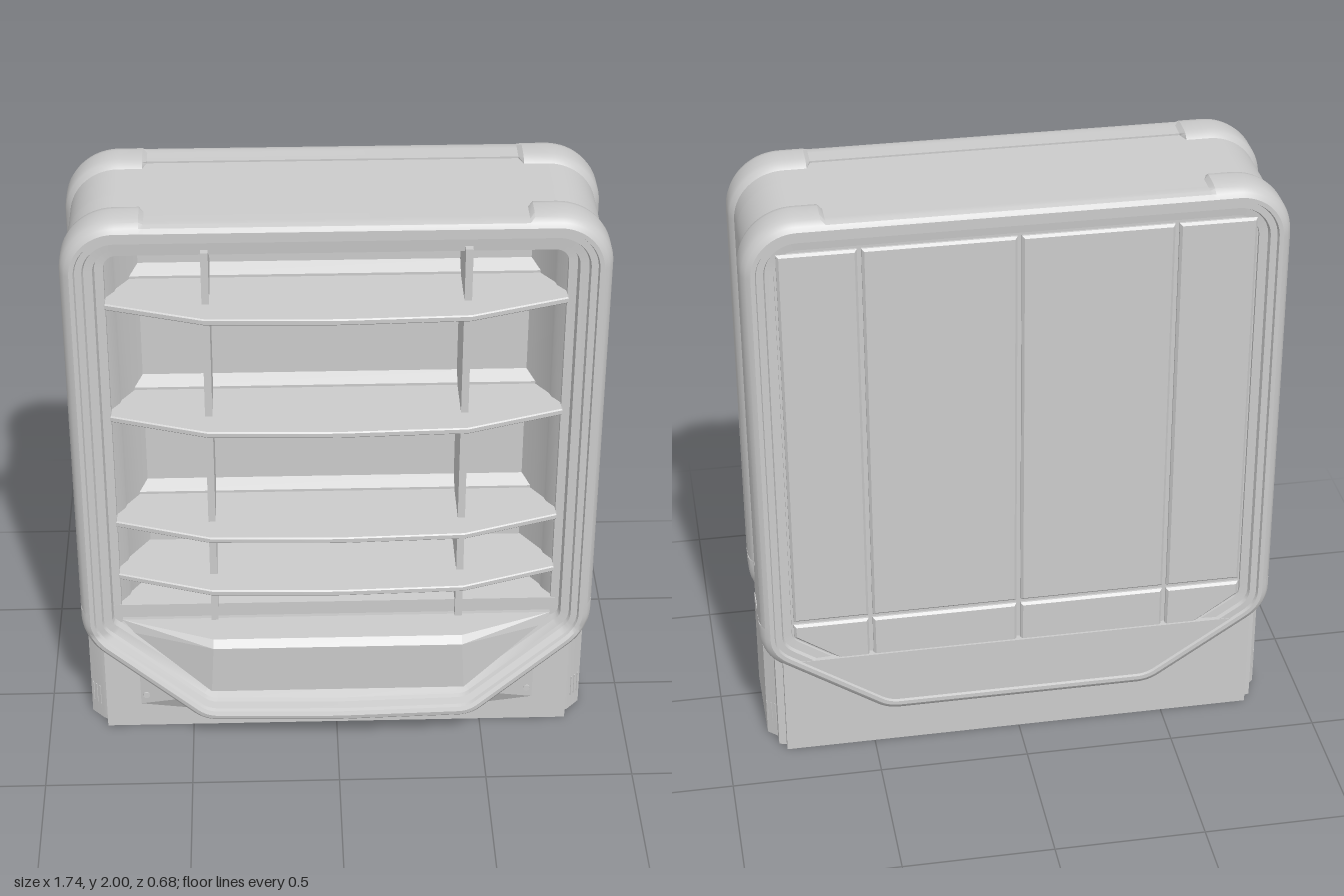
import * as THREE from 'three';
import { toCreasedNormals } from 'three/addons/utils/BufferGeometryUtils.js';
import { ConvexGeometry } from 'three/addons/geometries/ConvexGeometry.js';

const material = new THREE.MeshStandardMaterial({ color: 0xcccccc, side: THREE.DoubleSide });
const V = (x, y) => new THREE.Vector2(x, y);

// Outer outline: rounded top corners, cut lower corners, counter-clockwise
function outline() {
  const half = new THREE.Shape();
  half.moveTo(0, 0.115);
  half.lineTo(0.41, 0.115);
  half.quadraticCurveTo(0.46, 0.115, 0.5, 0.143);
  half.lineTo(0.8, 0.343);
  half.quadraticCurveTo(0.87, 0.39, 0.87, 0.47);
  for (const y of [0.505, 0.51, 0.515, 1.82]) half.lineTo(0.87, y);
  half.absarc(0.69, 1.82, 0.18, 0, Math.PI / 2, false);
  half.lineTo(0.615, 2);
  half.lineTo(0.6, 2);
  const right = half.getPoints(10).filter((p, i, a) => !i || p.distanceTo(a[i - 1]) > 1e-4);
  return [...right, ...right.slice(1).reverse().map(p => V(-p.x, p.y))];
}

// Inward mitre direction at each outline point
function mitres(pts) {
  const n = pts.length;
  return pts.map((p, i) => {
    const a = p.clone().sub(pts[(i + n - 1) % n]).normalize();
    const b = pts[(i + 1) % n].clone().sub(p).normalize();
    const m = V(-a.y - b.y, a.x + b.x).normalize();
    return m.divideScalar(Math.max(0.4, m.dot(V(-a.y, a.x))));
  });
}

const path = outline(), inward = mitres(path);
const inset = d => path.map((p, i) => p.clone().addScaledVector(inward[i], d));

// Frame cross-section: inset from the outline, depth
const section = [[0.03, 0.055], [0.018, 0.066], [0.004, 0.085], [0, 0.105], [0, 0.165], [0.005, 0.187],
  [0.017, 0.205], [0.032, 0.214], [0.046, 0.214], [0.05, 0.203], [0.072, 0.203], [0.077, 0.19],
  [0.105, 0.187], [0.11, 0.16], [0.138, 0.157], [0.142, 0]];

function frame(front) {
  const pos = [], idx = [], n = path.length, m = section.length;
  path.forEach((p, i) => {
    const topBar = p.y > 1.99 && Math.abs(p.x) < 0.61, seam = p.y === 0.51;
    for (const [d0, z0] of section) {
      const d = topBar ? Math.max(d0, 0.012) : seam ? Math.max(d0, 0.007) : d0;
      let z = topBar && d0 < 0.1 ? Math.max(z0, 0.105) : z0;
      const x = p.x + inward[i].x * d, y = p.y + inward[i].y * d;
      // the lower front edge leans outward
      if (front) z += Math.max(0, 0.41 - y) * 0.42 + (y < 0.3 ? Math.max(0, 0.012 * (1 - Math.abs(x) / 0.4)) : 0);
      pos.push(x, y, front ? z : -0.13 - z);
    }
  });
  for (let i = 0; i < n; i++) for (let j = 0; j < m - 1; j++) {
    const a = i * m + j, b = ((i + 1) % n) * m + j;
    idx.push(...(front ? [a, b, b + 1, a, b + 1, a + 1] : [a, b + 1, b, a, a + 1, b + 1]));
  }
  const g = new THREE.BufferGeometry();
  g.setAttribute('position', new THREE.Float32BufferAttribute(pos, 3));
  g.setIndex(idx);
  return toCreasedNormals(g, 0.5);
}

function extrude(shape, z0, z1, bevel = 0) {
  const g = new THREE.ExtrudeGeometry(shape, { depth: z1 - z0 - bevel * 2, bevelEnabled: bevel > 0,
    bevelSize: bevel, bevelThickness: bevel, bevelOffset: -bevel, bevelSegments: 1 });
  return toCreasedNormals(g.translate(0, 0, z0 + bevel), 0.5);
}

// Horizontal slab from a plan of [x, z] points
function slab(plan, y0, y1, bevel = 0) {
  const s = new THREE.Shape(plan.map(([x, z]) => V(x, -z)));
  return extrude(s, y0, y1, bevel).rotateX(-Math.PI / 2);
}
const mirrored = half => [...half, ...half.slice().reverse().map(([x, z]) => [-x, z])];
const hull = half => new ConvexGeometry(half.flatMap(([x, y, z]) =>
  [new THREE.Vector3(x, y, z), new THREE.Vector3(-x, y, z)]));

export function createModel() {
  const model = new THREE.Group();
  const add = (name, geometry) => {
    const mesh = new THREE.Mesh(geometry, material);
    mesh.name = name;
    model.add(mesh);
    return mesh;
  };

  // Front and back edge frames
  add('frontFrame', frame(true));
  add('backFrame', frame(false));

  // Cabinet shell around the compartment, and the solid rear half
  const shell = new THREE.Shape(inset(0.018));
  add('cabinetBack', extrude(shell, -0.31, -0.02));
  const hollow = new THREE.Shape(inset(0.018));
  hollow.holes.push(new THREE.Path([V(-0.735, 0.45), V(-0.735, 1.885), V(0.735, 1.885), V(0.735, 0.45)]));
  add('cabinetShell', extrude(hollow, -0.02, 0.15));

  // Angled inner corners
  for (const s of [-1, 1]) {
    add('innerCorner', slab([[0.74 * s, 0.15], [0.705 * s, 0.1], [0.7 * s, 0.08], [0.63 * s, -0.025], [0.74 * s, -0.025]], 0.45, 1.887));
    add('divider', new THREE.BoxGeometry(0.024, 1.43, 0.22).translate(0.415 * s, 1.17, 0.08));
  }

  // Shelves and the ledges behind them
  const shelfPlan = mirrored([[0.735, -0.02], [0.735, 0.18], [0.42, 0.285], [0.03, 0.297]]);
  for (const y of [0.64, 0.855, 1.27, 1.69]) {
    add('shelf', slab(shelfPlan, y - 0.011, y + 0.011, 0.004));
    if (y === 0.64) continue;
    const ledge = new THREE.Shape([V(0.025, y + 0.05), V(-0.02, y + 0.02), V(-0.02, y - 0.045), V(0.025, y - 0.08)]);
    add('ledge', extrude(ledge, -0.7, 0.7).rotateY(Math.PI / 2));
  }

  // Projecting lower tray and the sloping panel around it
  add('tray', hull([[0.42, 0.458, 0.3], [0.42, 0.435, 0.323], [0.73, 0.458, 0.18], [0.69, 0.42, 0.205],
    [0.43, 0.25, 0.318], [0.45, 0.24, 0.2], [0.73, 0.44, 0.1]]));
  add('lowerPanel', hull([[0.74, 0.455, 0.05], [0.74, 0.455, 0.15], [0.74, 0.44, 0.157], [0.42, 0.225, 0.247],
    [0.42, 0.225, 0.05]]));

  // Foot with notched corners
  add('foot', slab(mirrored([[0.8, 0.185], [0.8, 0.15], [0.815, 0.14], [0.857, 0.095], [0.857, -0.225],
    [0.825, -0.255], [0.825, -0.3], [0.8, -0.305], [0.8, -0.335]]), 0, 0.36));
  add('footTop', slab(mirrored([[0.8, 0.16], [0.854, 0.095], [0.854, -0.225], [0.8, -0.29]]), 0.36, 0.505));

  // Bracket under the leaning front edge
  add('bracketPlate', hull([[0.68, 0.23, 0.17], [0.68, 0.1, 0.17], [0.68, 0.1, 0.19], [0.68, 0.23, 0.2],
    [0.53, 0.08, 0.17], [0.53, 0.08, 0.19], [0.5, 0.15, 0.225], [0.5, 0.23, 0.225]]));
  add('bracketWedge', hull([[0.5, 0.08, 0.17], [0.5, 0.085, 0.19], [0.45, 0.13, 0.29], [0.45, 0.2, 0.25], [0.5, 0.22, 0.17]]));

  // Screws and corner vents
  for (const s of [-1, 1]) {
    add('screw', new THREE.CylinderGeometry(0.012, 0.012, 0.02, 12).rotateX(Math.PI / 2).translate(0.66 * s, 0.145, 0.193));
    for (let i = 0; i < 3; i++) {
      const t = i * 0.012;
      const front = add('ventSlat', new THREE.BoxGeometry(0.005, 0.08, 0.006));
      front.position.set(s * (0.824 + t), 0.095, 0.13 - t * 1.07);
      front.rotation.y = s * Math.PI / 4;
      const back = add('ventSlat', new THREE.BoxGeometry(0.005, 0.08, 0.006));
      back.position.set(s * (0.829 + t), 0.095, -0.251 + t);
      back.rotation.y = s * Math.PI / 4;
    }
  }

  // Back panels separated by grooves
  const cut = x => 0.228 + (x - 0.42) * 0.67;
  for (const s of [-1, 1]) {
    const panel = pts => add('backPanel', extrude(new THREE.Shape(pts.map(([x, y]) => V(x * s, y))), -0.328, -0.305, 0.008));
    panel([[0.007, 0.517], [0.493, 0.517], [0.493, 1.885], [0.007, 1.885]]);
    panel([[0.507, 0.517], [0.757, 0.517], [0.757, 1.885], [0.507, 1.885]]);
    panel([[0.007, 0.228], [0.42, 0.228], [0.493, cut(0.493)], [0.493, 0.503], [0.007, 0.503]]);
    panel([[0.507, cut(0.507)], [0.757, cut(0.757)], [0.757, 0.503], [0.507, 0.503]]);
  }
  return model;
}
